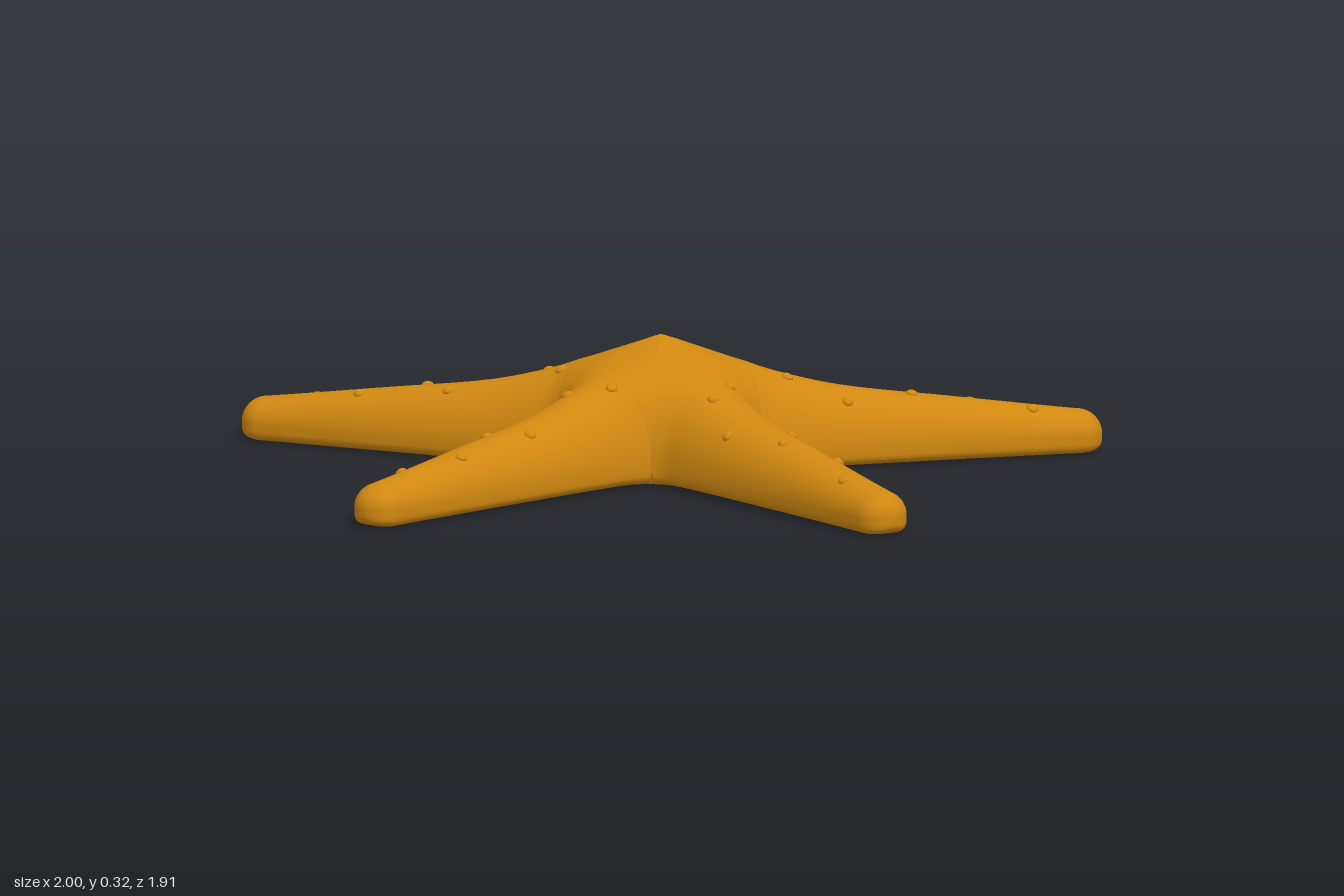
import * as THREE from 'three';
import { mergeVertices } from 'three/addons/utils/BufferGeometryUtils.js';

const ARMS = 5, CENTRE_Z = 0.095, RIM = 0.042, CAP = 0.06;
const WEDGE = Math.tan(Math.PI / ARMS);

// Arm profile: distance from the centre, half width, ridge height
const PROFILE = [
  [0, 0.44, 0.316], [0.05, 0.37, 0.297], [0.1, 0.305, 0.279], [0.17, 0.215, 0.254],
  [0.2144, 0.2144 * WEDGE, 0.239], [0.24, 0.139, 0.229], [0.3, 0.127, 0.21],
  [0.43, 0.112, 0.178], [0.7, 0.086, 0.14], [0.9, 0.069, 0.112], [0.99, 0.062, 0.1],
];

// Cross-sections along one arm, ending in a rounded tip
function armStations() {
  const curve = new THREE.CatmullRomCurve3(PROFILE.map(p => new THREE.Vector3(...p)));
  const n = (PROFILE.length - 1) * 5;
  const list = [];
  for (let i = 0; i <= n; i++) {
    const p = curve.getPoint(i / n);
    list.push({ a: p.x, w: p.y, top: p.z - RIM, low: RIM });
  }
  const end = list[n];
  for (let i = 1; i <= 10; i++) {
    const f = (i / 10) * Math.PI / 2, q = i === 10 ? 0 : Math.cos(f);
    list.push({ a: end.a + CAP * Math.sin(f), w: end.w * q, top: end.top * q, low: RIM * Math.sqrt(q) });
  }
  return list;
}

// Heights of the domed upper side and the flat, round-edged underside
const upperY = (s, u) => RIM + s.top * Math.sqrt(Math.max(0, 1 - u * u));
const lowerY = (s, u) => RIM - s.low * Math.pow(Math.max(0, 1 - u ** 4), 0.25);

// Arm coordinates (along, across) to model x and z
function armFrame(k) {
  const ang = k * 2 * Math.PI / ARMS, c = Math.cos(ang), s = Math.sin(ang);
  return {
    toWorld: (a, b) => [a * s + b * c, CENTRE_Z - a * c + b * s],
    toArm: (x, z) => [x * s - (z - CENTRE_Z) * c, x * c + (z - CENTRE_Z) * s],
  };
}

// All arms joined in one skin; near the centre each is cut to its wedge
function bodyGeometry(stations) {
  const pos = [], index = [], cols = 28;
  for (let k = 0; k < ARMS; k++) {
    const frame = armFrame(k);
    for (const side of [upperY, lowerY]) {
      const base = pos.length / 3;
      stations.forEach((s, i) => {
        const t0 = s.w > 0 ? Math.acos(Math.min(1, s.a * WEDGE / s.w)) : 0;
        for (let j = 0; j <= cols; j++) {
          const u = Math.cos(t0 + (Math.PI - 2 * t0) * j / cols);
          const [x, z] = frame.toWorld(s.a, s.w * u);
          pos.push(x, side(s, u), z);
          if (i === 0 || j === 0) continue;
          const d = base + i * (cols + 1) + j, c = d - 1, b = d - cols - 1, a = b - 1;
          if (side === upperY) index.push(a, c, b, b, c, d);
          else index.push(a, b, c, b, d, c);
        }
      });
    }
  }
  let geo = new THREE.BufferGeometry();
  geo.setAttribute('position', new THREE.Float32BufferAttribute(pos, 3));
  geo.setIndex(index);
  geo = mergeVertices(geo, 1e-4);
  geo.computeVertexNormals();
  return geo;
}

// Bump positions in x, z, one row per arm
const BUMPS = [
  [[0.03, -0.79], [-0.04, -0.66], [0.02, -0.51], [-0.05, -0.43], [0.07, -0.34], [0.03, -0.2], [-0.05, -0.14]],
  [[0.845, -0.15], [0.695, -0.175], [0.57, -0.08], [0.475, -0.115], [0.43, 0.025], [0.29, 0.03], [0.205, -0.03]],
  [[0.175, 0.245], [0.145, 0.345], [0.19, 0.48], [0.34, 0.48], [0.33, 0.585], [0.465, 0.67], [0.49, 0.82]],
  [[-0.095, 0.305], [-0.2, 0.305], [-0.31, 0.39], [-0.265, 0.535], [-0.365, 0.56], [-0.41, 0.71], [-0.545, 0.78]],
  [[-0.235, 0.065], [-0.27, -0.03], [-0.385, -0.11], [-0.505, -0.025], [-0.56, -0.11], [-0.72, -0.11], [-0.825, -0.215]],
];

export function createModel() {
  const group = new THREE.Group();
  group.name = 'starfish';
  const material = new THREE.MeshStandardMaterial({ color: 0xd08810 });
  const stations = armStations();

  const body = new THREE.Mesh(bodyGeometry(stations), material);
  body.name = 'body';
  group.add(body);

  // Skin height at any x, z on an arm
  const heightAt = (frame, x, z) => {
    const [a, b] = frame.toArm(x, z);
    const i = Math.max(1, stations.findIndex(s => s.a >= a));
    const p = stations[i - 1], q = stations[i], f = (a - p.a) / (q.a - p.a);
    const mix = key => THREE.MathUtils.lerp(p[key], q[key], f);
    return upperY({ top: mix('top') }, b / mix('w'));
  };

  // Small flattened bumps lying on the skin
  const bumps = new THREE.Group();
  bumps.name = 'bumps';
  const bumpGeo = new THREE.SphereGeometry(0.014, 14, 10);
  const up = new THREE.Vector3(0, 1, 0), e = 0.004;
  BUMPS.forEach((row, k) => {
    const frame = armFrame(k);
    for (const [x, z] of row) {
      const h = (dx, dz) => heightAt(frame, x + dx, z + dz);
      const normal = new THREE.Vector3(h(-e, 0) - h(e, 0), 2 * e, h(0, -e) - h(0, e)).normalize();
      const bump = new THREE.Mesh(bumpGeo, material);
      bump.name = 'bump';
      bump.position.set(x, h(0, 0), z);
      bump.quaternion.setFromUnitVectors(up, normal);
      bump.scale.y = 0.6;
      bumps.add(bump);
    }
  });
  group.add(bumps);
  return group;
}
